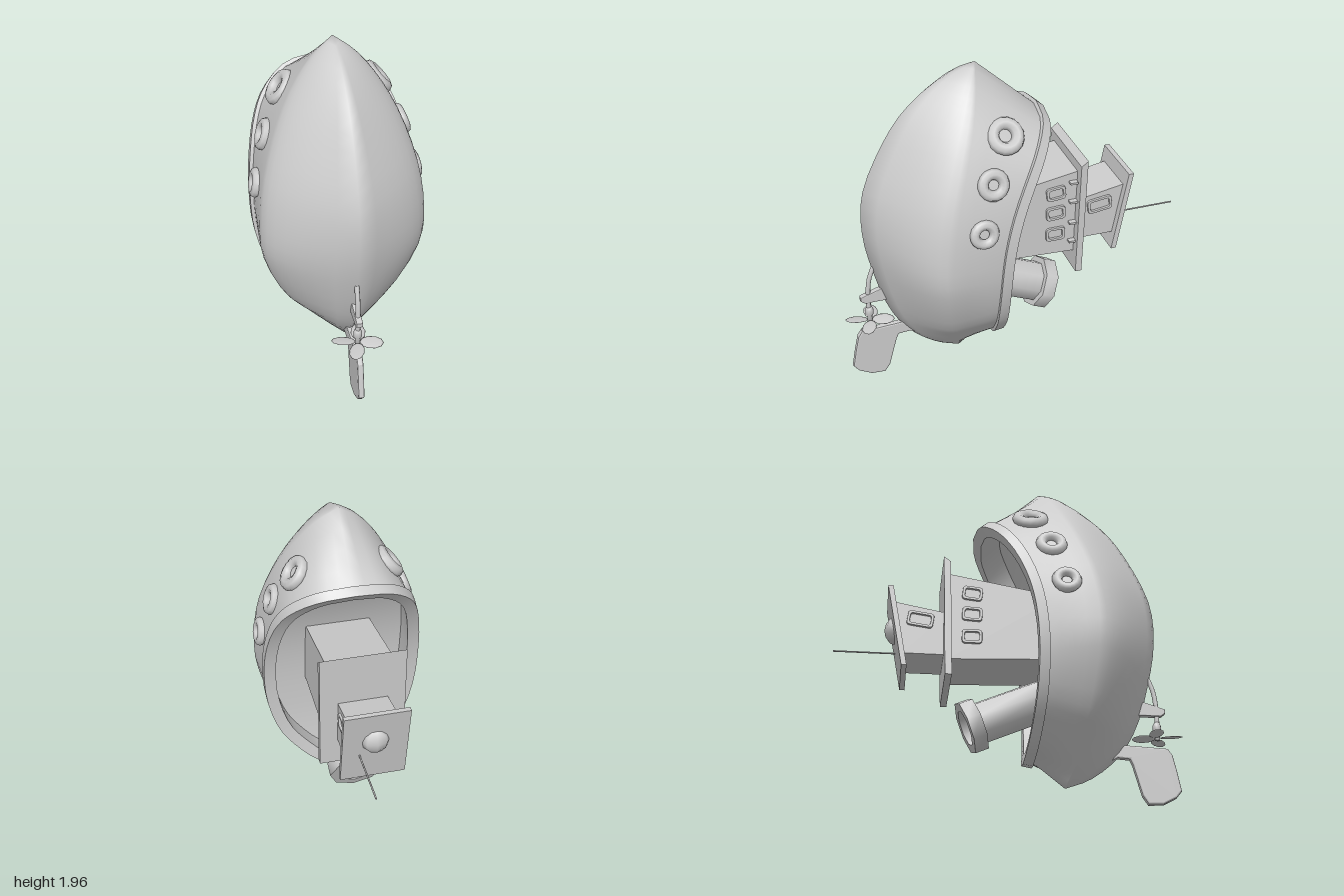
import * as THREE from 'three';
import { mergeVertices, toCreasedNormals } from 'three/addons/utils/BufferGeometryUtils.js';

const material = new THREE.MeshStandardMaterial({ color: 0xcccccc, side: THREE.DoubleSide });
const V = (x, y, z) => new THREE.Vector3(x, y, z);

function add(parent, name, geometry, x = 0, y = 0, z = 0) {
  const mesh = new THREE.Mesh(geometry, material);
  mesh.name = name;
  mesh.position.set(x, y, z);
  parent.add(mesh);
  return mesh;
}

// Surface from equally long rows of points
function grid(rows) {
  const cols = rows[0].length, index = [];
  for (let i = 0; i < rows.length - 1; i++) {
    for (let j = 0; j < cols - 1; j++) {
      const a = i * cols + j, b = a + cols;
      index.push(a, b, a + 1, b, b + 1, a + 1);
    }
  }
  const geo = new THREE.BufferGeometry().setFromPoints(rows.flat());
  geo.setIndex(index);
  const merged = mergeVertices(geo, 1e-4);
  merged.computeVertexNormals();
  return merged;
}

// Side outline in (z, y), given thickness along x and centred on x = 0
function sidePlate(shape, width, bevel = 0) {
  const geo = new THREE.ExtrudeGeometry(shape, {
    depth: width - 2 * bevel, bevelEnabled: bevel > 0, bevelSize: bevel,
    bevelThickness: bevel, bevelOffset: -bevel, bevelSegments: 2, curveSegments: 4,
  });
  return geo.translate(0, 0, -(width - 2 * bevel) / 2).rotateY(-Math.PI / 2);
}
const outline = (pts) => new THREE.Shape(pts.map(([z, y]) => new THREE.Vector2(z, y)));

function roundedRect(path, w, h, r) {
  const a = w / 2, b = h / 2;
  path.moveTo(-a + r, -b).lineTo(a - r, -b).quadraticCurveTo(a, -b, a, -b + r)
    .lineTo(a, b - r).quadraticCurveTo(a, b, a - r, b)
    .lineTo(-a + r, b).quadraticCurveTo(-a, b, -a, b - r)
    .lineTo(-a, -b + r).quadraticCurveTo(-a, -b, -a + r, -b);
  return path;
}
function windowFrame(w, h) {
  const shape = roundedRect(new THREE.Shape(), w, h, 0.022);
  shape.holes.push(roundedRect(new THREE.Path(), w - 0.032, h - 0.032, 0.014));
  return sidePlate(shape, 0.022, 0.004);
}

// Curved sheer of the deck and its upward normal
function deckZ(y) {
  const d = y - 0.65;
  return 0.18 - (d > 0 ? 0.335 * Math.pow(d, 2.6) : 0.23 * d * d);
}
const deckNormal = (y) => V(0, (deckZ(y + 0.01) - deckZ(y - 0.01)) / 0.02, -1).normalize();

function buildHull(group) {
  const n = 28;
  const sample = (pts) => new THREE.CatmullRomCurve3(pts.map((p) => V(...p))).getPoints(n);
  const keel = sample([[0, 1.96, .19], [0, 1.88, .4], [0, 1.72, .6], [0, 1.52, .735], [0, 1.25, .85], [0, 1, .865],
    [0, .74, .82], [0, .445, .73], [0, .27, .62], [0, .14, .46], [0, .085, .32]]);
  const chine = sample([[0, 1.96, .19], [.12, 1.87, .22], [.24, 1.72, .27], [.345, 1.52, .34], [.43, 1.25, .42],
    [.46, 1, .46], [.45, .78, .46], [.33, .47, .42], [.22, .33, .39], [.1, .19, .36], [0, .085, .32]]);
  const rim = sample([[0, 1.65, 0], [.19, 1.62, 0], [.32, 1.52, 0], [.385, 1.4, 0], [.43, 1.2, 0], [.445, 1, 0],
    [.43, .75, 0], [.36, .52, 0], [.26, .38, 0], [.14, .27, 0], [0, .23, 0]]);
  rim.forEach((p) => { p.z = deckZ(p.y); });

  // Each section runs from rim to chine to keel and back up the other side
  const rows = keel.map((a, i) => {
    const b = chine[i], c = rim[i], half = [];
    const k = b.clone().addScaledVector(b.clone().sub(c), 0.5 * b.x / 0.46);
    const bilge = new THREE.QuadraticBezierCurve3(a, k, b);
    for (let j = 0; j <= 8; j++) half.push(bilge.getPoint(j / 8));
    for (let j = 1; j <= 4; j++) half.push(b.clone().lerp(c, j / 4));
    const other = half.slice(1).reverse().map((p) => V(-p.x, p.y, p.z));
    return [...other, ...half];
  });
  add(group, 'hull', grid(rows));

  // Rail, inner bulwark and sunken deck swept round the rim
  const ring = [...rim, ...rim.slice(1, -1).reverse().map((p) => V(-p.x, p.y, p.z))];
  const profile = [[-.01, -.008], [.02, -.008], [.02, .05], [-.05, .05], [-.05, -.1]];
  const rail = ring.map((p, i) => {
    const t = ring[(i + 1) % ring.length].clone().sub(ring[(i + ring.length - 1) % ring.length]);
    const up = deckNormal(p.y);
    const out = t.cross(up).normalize();
    const pts = profile.map(([o, h]) => p.clone().addScaledVector(out, o).addScaledVector(up, h));
    const last = pts[pts.length - 1];
    return [...pts, V(0, last.y, last.z)];
  });
  rail.push(rail[0].map((p) => p.clone()));
  add(group, 'railAndDeck', toCreasedNormals(grid(rail), 0.6));
}

function buildCabins(group) {
  add(group, 'deckhouse', sidePlate(outline([[.28, 1.175], [-.36, 1.287], [-.35, .755], [.28, .78]]), 0.38));
  add(group, 'deckhouseRoof', sidePlate(outline([[-.35, 1.34], [-.39, 1.37], [-.37, .64], [-.332, .64]]), 0.49));
  add(group, 'wheelhouse', sidePlate(outline([[-.36, 1.06], [-.655, 1.115], [-.61, .8], [-.36, .8]]), 0.285));
  add(group, 'wheelhouseRoof', sidePlate(outline([[-.67, 1.2], [-.7, 1.2], [-.61, .71], [-.58, .71]]), 0.37));

  // Roof dome and aerial
  const dome = add(group, 'roofDome', new THREE.SphereGeometry(0.08, 8, 6), 0, 1, -0.655);
  dome.scale.z = 0.7;
  const aerial = new THREE.CylinderGeometry(0.005, 0.005, 0.36, 6).rotateX(Math.PI / 2);
  add(group, 'aerial', aerial, 0.085, 0.895, -0.82);

  // Windows on both sides
  for (const s of [-1, 1]) {
    for (const y of [1.165, 1.035, 0.895]) {
      const frame = add(group, 'deckhouseWindow', windowFrame(0.115, 0.085), s * 0.193, y, -0.22);
      frame.rotation.x = (y - 0.9) * 0.4;
    }
    const frame = add(group, 'wheelhouseWindow', windowFrame(0.15, 0.09), s * 0.146, 1.01, -0.51);
    frame.rotation.x = 0.14;
  }

  // Ladder rungs on the left side
  for (const y of [1.225, 1.1, 0.96, 0.835]) {
    add(group, 'rung', new THREE.BoxGeometry(0.035, 0.012, 0.045), 0.205, y, -0.32);
  }
}

function buildFunnel(group) {
  const profile = [[.122, 0], [.122, .45], [.157, .45], [.157, .53], [.105, .53], [.105, .3], [0, .3]];
  const geo = new THREE.LatheGeometry(profile.map(([r, h]) => new THREE.Vector2(r, h)), 8);
  const funnel = add(group, 'funnel', toCreasedNormals(geo, 0.9), 0, 0.625, 0.25);
  funnel.quaternion.setFromUnitVectors(V(0, 1, 0), V(0, -0.39, -0.92).normalize());
}

function buildTyres(group) {
  const tyres = [
    { at: [.27, 1.63, .107], normal: [.75, .62, -.02], size: .107 },
    { at: [.385, 1.41, .212], normal: [.93, .34, -.03], size: .091 },
    { at: [.45, 1.15, .285], normal: [.98, .18, -.03], size: .085 },
  ];
  for (const { at, normal, size } of tyres) {
    for (const s of [-1, 1]) {
      const tube = size * 0.34;
      const tyre = add(group, 'tyreFender', new THREE.TorusGeometry(size - tube, tube, 8, 16), s * at[0], at[1], at[2]);
      tyre.quaternion.setFromUnitVectors(V(0, 0, 1), V(s * normal[0], normal[1], normal[2]).normalize());
    }
  }
}

function buildSternGear(group) {
  // Rudder
  const rudder = outline([[.91, .338], [.66, .35], [.5, .3], [.5, .2], [.62, .27], [.69, .265], [.705, .23],
    [.752, .055], [.785, .005], [.87, .01], [.945, .05], [.977, .09], [.955, .21], [.935, .3]].reverse());
  add(group, 'rudder', sidePlate(rudder, 0.036, 0.01));

  // Shaft with its strut
  const shaft = new THREE.CatmullRomCurve3([V(0, .78, .81), V(0, .68, .845), V(0, .56, .857), V(0, .4, .855)]);
  add(group, 'shaft', new THREE.TubeGeometry(shaft, 12, 0.014, 8));
  add(group, 'shaftStrut', sidePlate(outline([[.72, .53], [.88, .53], [.905, .55], [.905, .575], [.72, .635]]), 0.036, 0.006));

  // Hub and four blades
  const hub = [[0, .39], [.015, .39], [.015, .43], [.024, .445], [.024, .475], [.015, .495], [0, .495]];
  add(group, 'propellerHub', new THREE.LatheGeometry(hub.map(([r, y]) => new THREE.Vector2(r, y)), 10), 0, 0, 0.855);
  for (let i = 0; i < 4; i++) {
    const pivot = new THREE.Group();
    pivot.name = 'propellerBlade';
    pivot.position.set(0, 0.402, 0.855);
    pivot.rotation.y = -(0.27 + i * Math.PI / 2);
    const blade = add(pivot, 'blade', new THREE.SphereGeometry(1, 10, 6), 0.078, 0, 0);
    blade.scale.set(0.067, 0.004, 0.043);
    blade.rotation.x = 0.18;
    group.add(pivot);
  }
}

export function createModel() {
  const group = new THREE.Group();
  group.name = 'tugboat';
  buildHull(group);
  buildCabins(group);
  buildFunnel(group);
  buildTyres(group);
  buildSternGear(group);
  return group;
}
